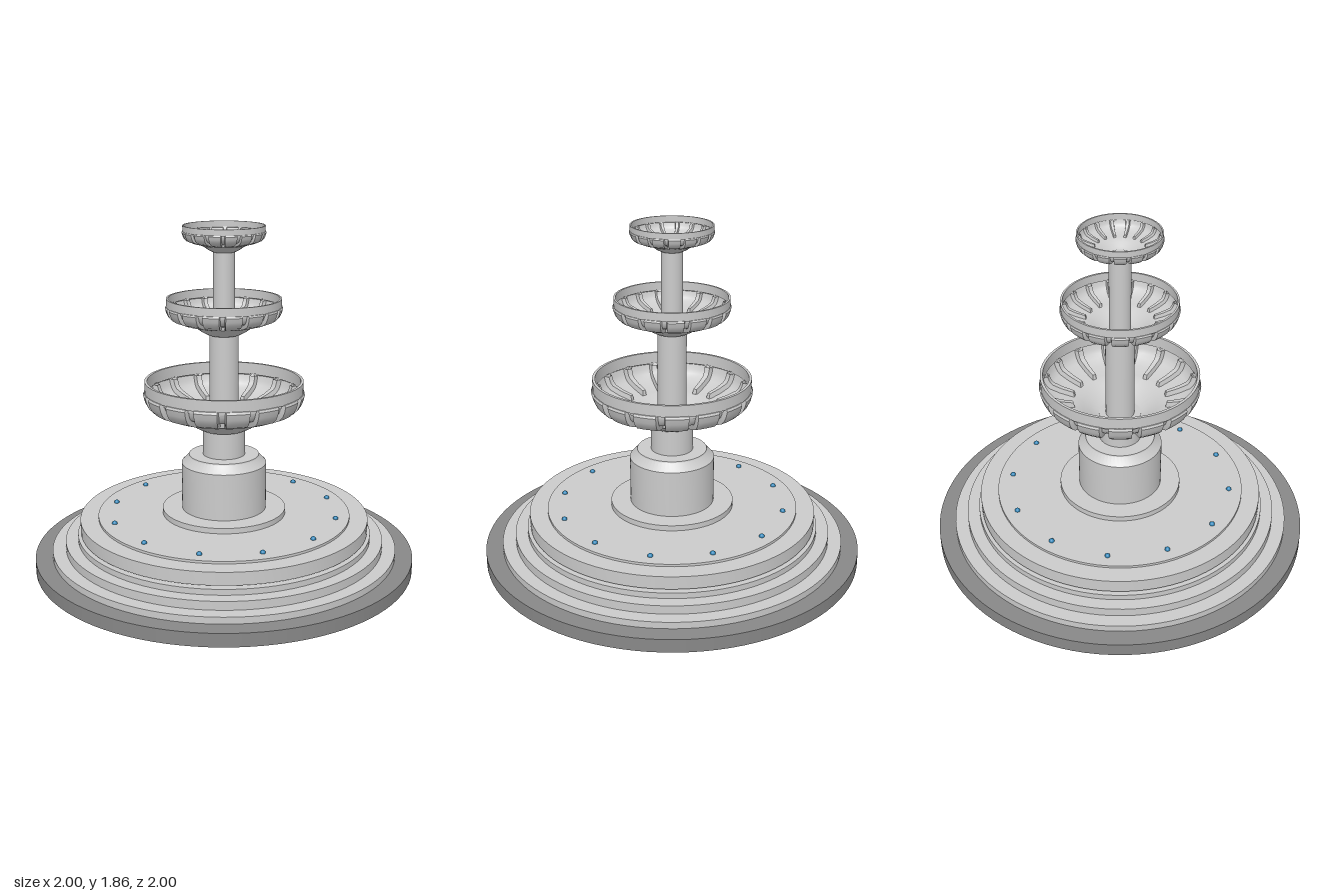
import * as THREE from 'three';
import { toCreasedNormals } from 'three/addons/utils/BufferGeometryUtils.js';

const stone = new THREE.MeshStandardMaterial({ color: 0xcccccc });
const darkStone = new THREE.MeshStandardMaterial({ color: 0x888888 });
const blue = new THREE.MeshStandardMaterial({ color: 0x2f86b8 });

function named(name, geometry, material = stone) {
  const mesh = new THREE.Mesh(geometry, material);
  mesh.name = name;
  return mesh;
}

// Turned part: [radius, y] pairs listed from the bottom up on the outside
function turned(name, profile, segments = 64) {
  const points = profile.map(([r, y]) => new THREE.Vector2(r, y));
  return named(name, toCreasedNormals(new THREE.LatheGeometry(points, segments), 0.5));
}

function cylinder(name, r, y0, y1, segments = 48, material = stone) {
  const mesh = named(name, new THREE.CylinderGeometry(r, r, y1 - y0, segments), material);
  mesh.position.y = (y0 + y1) / 2;
  return mesh;
}

// Fluted bowl shell: petals separated by narrow ribs pressed inwards
const PETALS = 16, RIB_DEPTH = 0.026, WALL = 0.012;
const BOWL = [ // radius, height below the rim top, rib strength
  [0.1, -0.265, 0], [0.125, -0.257, 0], [0.16, -0.238, 0], [0.2, -0.21, 0], [0.245, -0.188, 0],
  [0.255, -0.187, 1], [0.32, -0.17, 1], [0.375, -0.148, 1], [0.398, -0.125, 1],
  [0.41, -0.1, 1], [0.418, -0.07, 1], [0.413, -0.058, 1], [0.4, -0.052, 0.4],
];

function bowlShell() {
  const period = (Math.PI * 2) / PETALS;
  // Angle (as a fraction of one period) and rib strength
  const steps = [[-0.1, 1], [0.1, 1], [0.14, 0], [0.32, 0], [0.5, 0], [0.68, 0], [0.86, 0]];
  const normals = BOWL.map((p, j) => {
    const a = BOWL[Math.max(j - 1, 0)], b = BOWL[Math.min(j + 1, BOWL.length - 1)];
    return new THREE.Vector2(a[1] - b[1], b[0] - a[0]).normalize(); // points into the bowl
  });
  const positions = [], index = [];
  const columns = PETALS * steps.length, rows = BOWL.length * 2;
  for (let k = 0; k < PETALS; k++) {
    for (const [f, rib] of steps) {
      const angle = (k + f) * period + 0.045;
      for (let j = 0; j < rows; j++) {
        const inner = j >= BOWL.length;
        const q = inner ? rows - 1 - j : j; // up the outside, down the inside
        const [r, y, w] = BOWL[q];
        const shift = w * rib * RIB_DEPTH + (inner ? WALL : 0);
        const radius = r + normals[q].x * shift;
        positions.push(radius * Math.sin(angle), y + normals[q].y * shift, radius * Math.cos(angle));
      }
    }
  }
  for (let i = 0; i < columns; i++) {
    const next = (i + 1) % columns;
    for (let j = 0; j < rows; j++) {
      const up = (j + 1) % rows;
      const a = i * rows + j, b = next * rows + j, c = next * rows + up, d = i * rows + up;
      index.push(a, b, c, a, c, d);
    }
  }
  const geometry = new THREE.BufferGeometry();
  geometry.setAttribute('position', new THREE.Float32BufferAttribute(positions, 3));
  geometry.setIndex(index);
  return toCreasedNormals(geometry, 0.6);
}

function bowl(name, shell, scale, top) {
  const group = new THREE.Group();
  group.name = name;
  group.add(named('flutedShell', shell));
  // Plain upright band around the mouth
  group.add(turned('rimBand', [[0.396, -0.06], [0.41, -0.06], [0.41, 0], [0.396, 0], [0.396, -0.06]], 96));
  group.scale.setScalar(scale);
  group.position.y = top;
  return group;
}

export function createModel() {
  const fountain = new THREE.Group();
  fountain.name = 'fountain';

  // Base: supply pipe, foundation slab and stepped plinth
  fountain.add(cylinder('supplyPipe', 0.075, 0, 0.1, 24));
  fountain.add(cylinder('foundationSlab', 1, 0.075, 0.145, 96, darkStone));
  fountain.add(turned('steppedPlinth', [
    [0.91, 0.14], [0.91, 0.18], [0.84, 0.18], [0.84, 0.225], [0.775, 0.225], [0.775, 0.255],
    [0.72, 0.255], [0.72, 0.267], [0.76, 0.267], [0.76, 0.335], [0.665, 0.335],
  ], 96));
  fountain.add(cylinder('poolFloor', 0.665, 0.32, 0.348, 96));

  // Ring of small water jets
  const jets = new THREE.Group();
  jets.name = 'waterJets';
  const jetGeometry = new THREE.SphereGeometry(0.014, 16, 12);
  for (let i = 0; i < 12; i++) {
    const angle = (i * Math.PI) / 6;
    const jet = named('waterJet', jetGeometry, blue);
    jet.position.set(0.595 * Math.cos(angle), 0.35, 0.595 * Math.sin(angle));
    jets.add(jet);
  }
  fountain.add(jets);

  // Pedestal with collar and chamfered shoulder
  fountain.add(turned('pedestal', [
    [0.325, 0.34], [0.325, 0.377], [0.222, 0.377], [0.222, 0.625],
    [0.185, 0.663], [0.183, 0.67], [0, 0.67],
  ]));

  // Columns between the tiers
  fountain.add(cylinder('lowerColumn', 0.11, 0.66, 0.82));
  fountain.add(cylinder('middleColumn', 0.075, 0.8, 1.32));
  fountain.add(cylinder('upperColumn', 0.055, 1.3, 1.74));

  // Three bowls of one shape
  const shell = bowlShell();
  fountain.add(bowl('lowerBowl', shell, 1, 1.068));
  fountain.add(bowl('middleBowl', shell, 0.715, 1.495));
  fountain.add(bowl('upperBowl', shell, 0.505, 1.86));

  return fountain;
}
